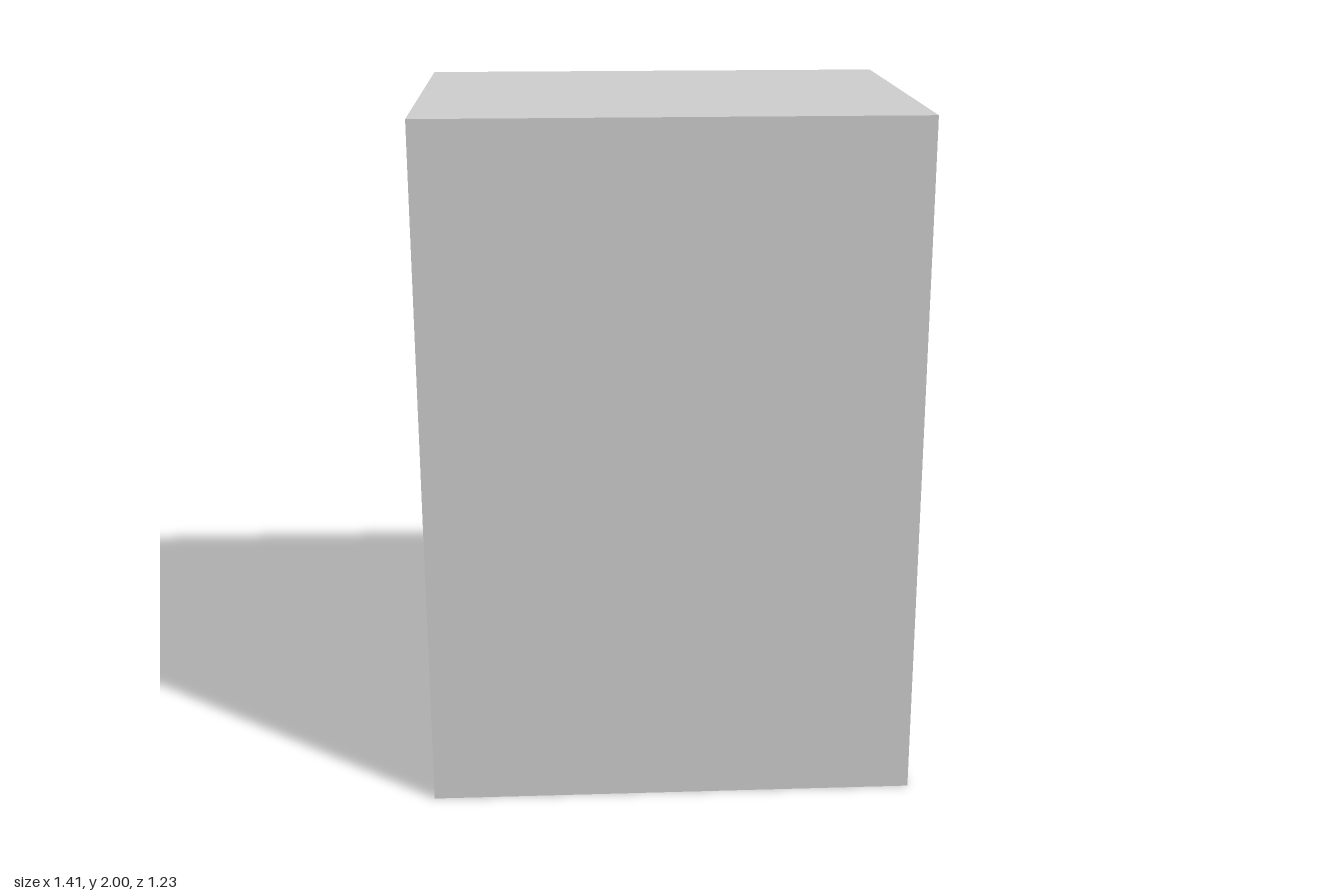
import * as THREE from 'three';

const grey = new THREE.MeshStandardMaterial({ color: 0xcccccc, flatShading: true });
const greyThin = new THREE.MeshStandardMaterial({ color: 0xcccccc, flatShading: true, side: THREE.DoubleSide });

// Thin-walled box without its bottom face
function openBottomBox(w, h, d) {
  const geo = new THREE.BoxGeometry(w, h, d);
  const index = Array.from(geo.index.array);
  index.splice(18, 6);
  geo.setIndex(index);
  geo.clearGroups();
  return geo;
}

// Arched pull: six-sided mitred rings swept along a bent path
function handleGeometry() {
  // centre x, y, z and inward half-width x, z of each ring
  const half = [
    [-0.134, 0, 0.01, 0.024, 0],
    [-0.117, 0, -0.039, 0.019, 0.015],
    [0, -0.016, -0.076, 0, 0.022],
  ];
  const mirrored = half.slice(0, 2).reverse().map(([x, y, z, dx, dz]) => [-x, y, z, -dx, dz]);
  const rings = [...half, ...mirrored];
  const sides = 6, radius = 0.024;
  const positions = [], index = [];
  for (const [x, y, z, dx, dz] of rings) {
    for (let s = 0; s < sides; s++) {
      const a = (s / sides) * Math.PI * 2;
      positions.push(x + dx * Math.cos(a), y + radius * Math.sin(a), z + dz * Math.cos(a));
    }
  }
  for (let r = 0; r < rings.length - 1; r++) {
    for (let s = 0; s < sides; s++) {
      const a = r * sides + s, b = r * sides + (s + 1) % sides;
      index.push(a, b, a + sides, b, b + sides, a + sides);
    }
  }
  const geo = new THREE.BufferGeometry();
  geo.setAttribute('position', new THREE.Float32BufferAttribute(positions, 3));
  geo.setIndex(index);
  geo.computeVertexNormals();
  return geo;
}

export function createModel() {
  const model = new THREE.Group();
  model.name = 'chestOfDrawers';

  // Cabinet shell, open underneath
  const cabinet = new THREE.Mesh(openBottomBox(1.41, 2, 1.097), greyThin);
  cabinet.name = 'cabinet';
  cabinet.position.set(0, 1, 0.0655);
  model.add(cabinet);

  // Four drawers, each a slightly tilted front with a pull
  const frontGeo = new THREE.BoxGeometry(1.308, 0.39, 0.032);
  const pullGeo = handleGeometry();
  for (let i = 0; i < 4; i++) {
    const drawer = new THREE.Group();
    drawer.name = `drawer${i + 1}`;
    drawer.position.set(0, 0.313 + i * 0.483, -0.5);

    const front = new THREE.Mesh(frontGeo, grey);
    front.name = 'drawerFront';
    front.rotation.x = -0.012;
    drawer.add(front);

    const pull = new THREE.Mesh(pullGeo, greyThin);
    pull.name = 'handle';
    pull.position.set(0, -0.007, -0.016);
    drawer.add(pull);

    model.add(drawer);
  }
  return model;
}
